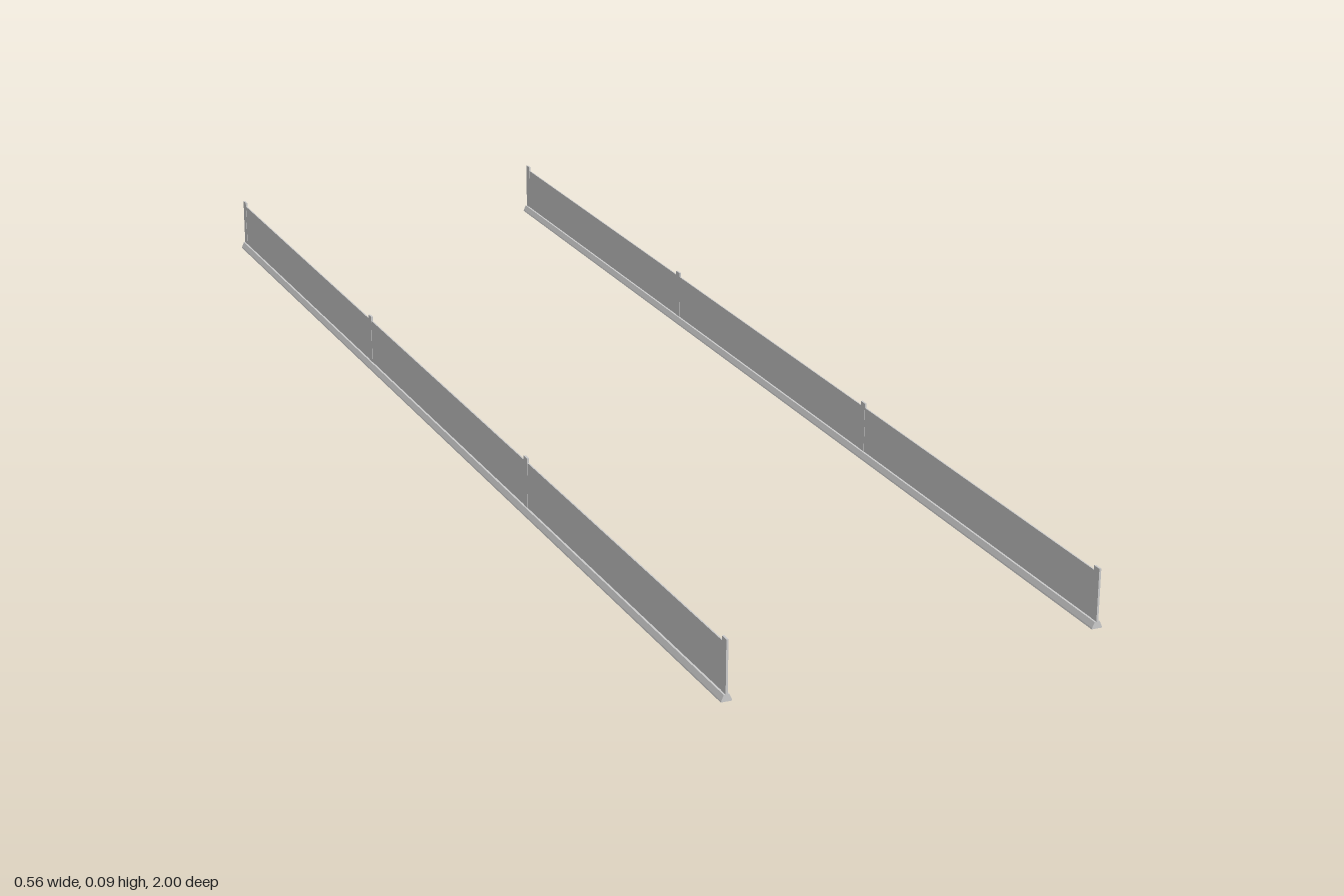
import * as THREE from 'three';

const LENGTH = 2, RAIL_X = 0.273;
const BASE_H = 0.01, PANEL_TOP = 0.08, POST_TOP = 0.087, POST_DEPTH = 0.013;

export function createModel() {
  const model = new THREE.Group();
  const material = new THREE.MeshStandardMaterial({ color: 0xcccccc, flatShading: true });

  const add = (parent, name, geometry) => {
    const mesh = new THREE.Mesh(geometry, material);
    mesh.name = name;
    parent.add(mesh);
    return mesh;
  };

  // Box spanning two heights, centred on x and z
  const upright = (w, y0, y1, d) =>
    new THREE.BoxGeometry(w, y1 - y0, d).translate(0, (y0 + y1) / 2, 0);

  // Tapered kerb section, run along the whole length
  const section = new THREE.Shape([
    new THREE.Vector2(-0.008, 0),
    new THREE.Vector2(0.008, 0),
    new THREE.Vector2(0.0075, 0.002),
    new THREE.Vector2(0.004, BASE_H),
    new THREE.Vector2(-0.004, BASE_H),
    new THREE.Vector2(-0.0075, 0.002),
  ]);
  const kerb = new THREE.ExtrudeGeometry(section, { depth: LENGTH, bevelEnabled: false })
    .translate(0, 0, -LENGTH / 2);

  for (const side of [1, -1]) {
    const barrier = new THREE.Group();
    barrier.name = side > 0 ? 'leftBarrier' : 'rightBarrier';
    barrier.position.x = side * RAIL_X;
    add(barrier, 'kerb', kerb);

    // Four evenly spaced posts with a thin panel between each pair
    const span = (LENGTH - POST_DEPTH) / 3;
    for (let i = 0; i < 4; i++) {
      const z = -LENGTH / 2 + POST_DEPTH / 2 + i * span;
      add(barrier, 'post', upright(0.003, BASE_H, POST_TOP, POST_DEPTH)).position.z = z;
      if (i < 3) {
        add(barrier, 'panel', upright(0.002, BASE_H, PANEL_TOP, span - POST_DEPTH))
          .position.z = z + span / 2;
      }
    }
    model.add(barrier);
  }
  return model;
}
